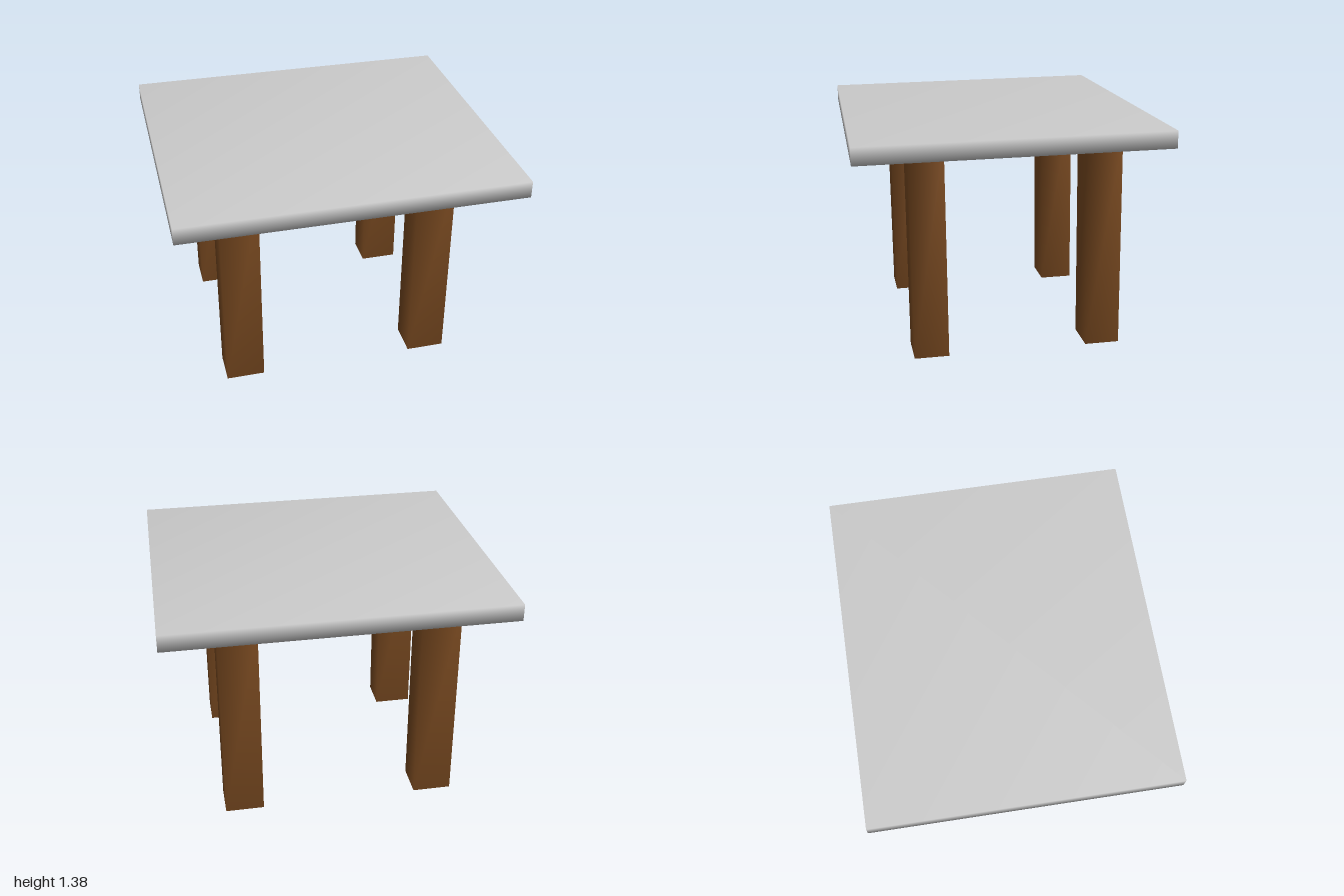
import * as THREE from 'three';
import { mergeVertices } from 'three/addons/utils/BufferGeometryUtils.js';

// Box whose corners share one normal, for soft shading across the edges
function softBox(w, h, d) {
  const box = new THREE.BoxGeometry(w, h, d);
  box.deleteAttribute('normal');
  box.deleteAttribute('uv');
  const soft = mergeVertices(box);
  soft.computeVertexNormals();
  return soft;
}

export function createModel() {
  const model = new THREE.Group();
  model.name = 'table';
  const grey = new THREE.MeshStandardMaterial({ color: 0xcccccc });
  const wood = new THREE.MeshStandardMaterial({ color: 0x75471f });

  // The whole table leans slightly forward
  const table = new THREE.Group();
  table.name = 'leaningTable';
  table.rotation.x = 0.0141;
  model.add(table);

  const add = (parent, name, geometry, material, x, y, z) => {
    const mesh = new THREE.Mesh(geometry, material);
    mesh.name = name;
    mesh.position.set(x, y, z);
    parent.add(mesh);
    return mesh;
  };

  // Table top
  add(table, 'tableTop', softBox(2, 0.1, 1.769), grey, 0, 1.3175, -0.0186);

  // Four square legs with grey undersides
  const bottom = 0.0077, legHeight = 1.26, legW = 0.23, legD = 0.205;
  const legGeometry = softBox(legW, legHeight, legD);
  const footGeometry = new THREE.PlaneGeometry(legW, legD).rotateX(Math.PI / 2);
  for (const [side, x] of [['Right', -0.605], ['Left', 0.565]]) {
    for (const [end, z] of [['front', 0.4424], ['back', -0.592]]) {
      const leg = new THREE.Group();
      leg.name = `${end}${side}Leg`;
      add(leg, 'post', legGeometry, wood, x, bottom + legHeight / 2, z);
      add(leg, 'foot', footGeometry, grey, x, bottom - 0.001, z);
      table.add(leg);
    }
  }
  return model;
}
